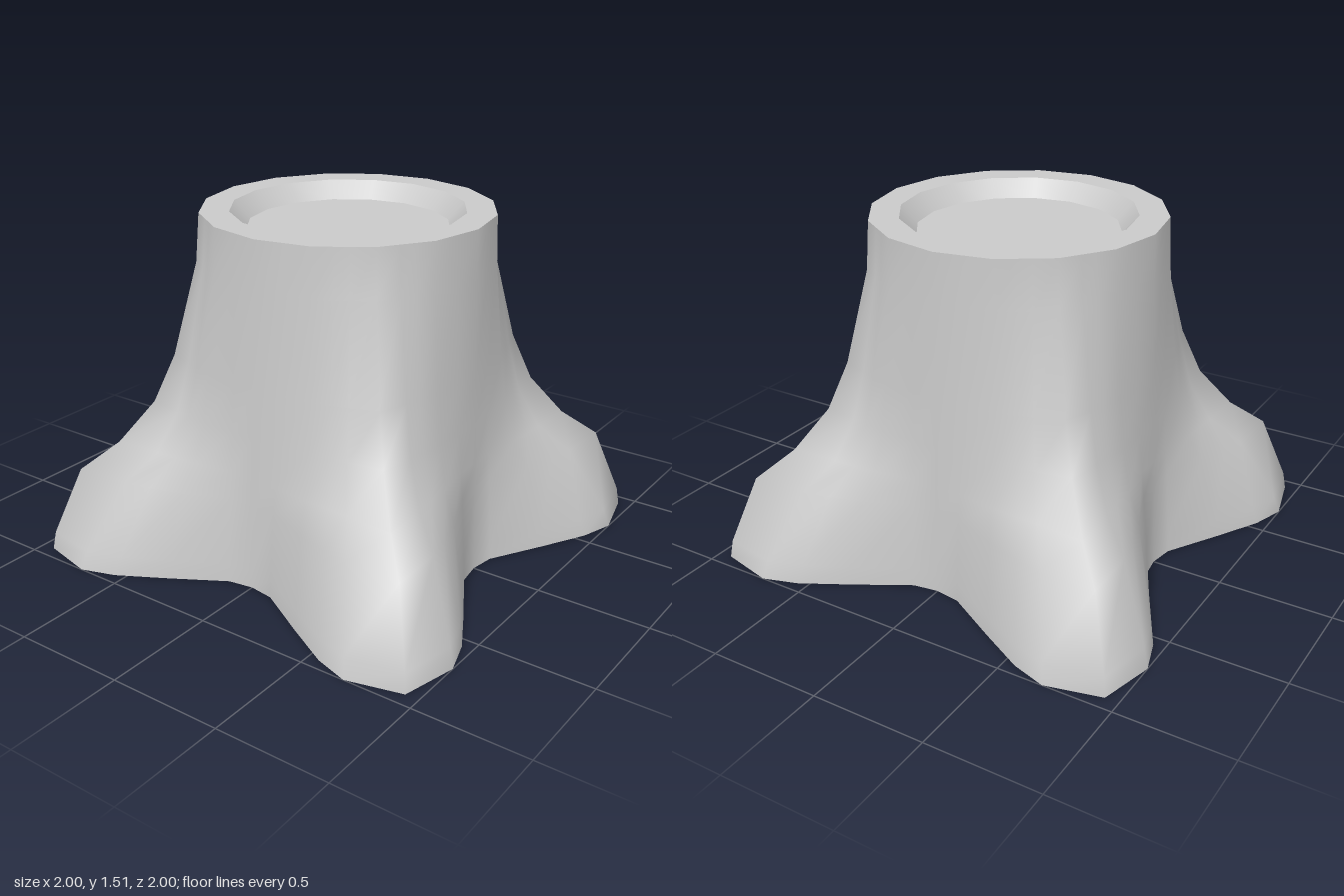
import * as THREE from 'three';

const HEIGHT = 1.51, OFFSET = 0.02, SIDES = 16;

// Height, radius between the roots, radius along the root ridges, sharpness of the ridges
const LEVELS = [
  [0, 0.685, 1.33, 0], [0.08, 0.683, 1.315, 0.1], [0.38, 0.672, 1.185, 0.65],
  [0.5, 0.668, 1.01, 1], [0.68, 0.66, 0.85, 1], [0.89, 0.65, 0.755, 0.8],
  [1.3, 0.636, 0.648, 0.4], [HEIGHT, 0.632, 0.632, 0],
];

// Half a root: angle at the ground, angle at the rim (degrees),
// share of the bulge where the root is round, share where its ridge is sharp
const HALF_ROOT = [
  [0, 0, 0, 0], [9, 11.25, 0.04, 0.03], [22.6, 22.5, 0.35, 0.25],
  [30, 30, 0.64, 0.42], [35, 36, 0.83, 0.58], [45, 45, 1, 1],
];

// Mirror the half root and repeat it four times around the trunk
function rootColumns() {
  const quarter = HALF_ROOT.concat(
    HALF_ROOT.slice(1, -1).reverse().map(([a, b, ...shares]) => [90 - a, 90 - b, ...shares]));
  const columns = [];
  for (let q = 0; q < 4; q++) {
    for (const [a, b, ...shares] of quarter) columns.push([a + q * 90, b + q * 90, ...shares]);
  }
  return columns;
}

// Ratio of a regular polygon's radius to its circumscribed circle
function polygonFactor(angle) {
  const step = (2 * Math.PI) / SIDES;
  return Math.cos(step / 2) / Math.cos((angle % step) - step / 2);
}

// Trunk wall flowing into four spreading roots, open underneath
function barkGeometry() {
  const { lerp, degToRad } = THREE.MathUtils;
  const columns = rootColumns(), n = columns.length;
  const positions = [], indices = [];
  LEVELS.forEach(([y, valley, ridge, sharpness], row) => {
    const t = y / HEIGHT;
    columns.forEach(([low, high, round, sharp], i) => {
      const angle = degToRad(lerp(low, high, t));
      const bulge = (ridge - valley) * lerp(round, sharp, sharpness);
      const r = (valley + bulge) * lerp(1, polygonFactor(angle), t * t);
      positions.push(Math.cos(angle) * r + OFFSET * t, y, Math.sin(angle) * r);
      if (row === LEVELS.length - 1) return;
      const a = row * n + i, b = row * n + (i + 1) % n;
      indices.push(a, a + n, b, b, a + n, b + n);
    });
  });
  const geometry = new THREE.BufferGeometry();
  geometry.setAttribute('position', new THREE.Float32BufferAttribute(positions, 3));
  geometry.setIndex(indices);
  geometry.computeVertexNormals();
  return geometry;
}

export function createModel() {
  const group = new THREE.Group();
  group.name = 'treeStump';
  const grey = new THREE.MeshStandardMaterial({ color: 0xcacaca, side: THREE.DoubleSide });
  grey.name = 'plain grey';

  const add = (name, geometry, x = 0, y = 0) => {
    const mesh = new THREE.Mesh(geometry, grey);
    mesh.name = name;
    mesh.position.set(x, y, 0);
    group.add(mesh);
  };

  add('barkAndRoots', barkGeometry());

  // Cut top: flat rim, sloping lip and sunken floor
  const depth = 0.075, lipTop = 0.505, lipBottom = 0.435;
  add('rim', new THREE.RingGeometry(lipTop, 0.632, SIDES).rotateX(-Math.PI / 2), OFFSET, HEIGHT);
  // Turned inside out so that the lip faces inwards
  const lip = new THREE.CylinderGeometry(lipTop, lipBottom, depth, SIDES, 1, true);
  lip.index.array.reverse();
  lip.attributes.normal.array.forEach((v, i, normals) => { normals[i] = -v; });
  add('innerLip', lip, OFFSET, HEIGHT - depth / 2);
  add('cutFloor', new THREE.CircleGeometry(lipBottom, SIDES).rotateX(-Math.PI / 2), OFFSET, HEIGHT - depth);

  return group;
}
